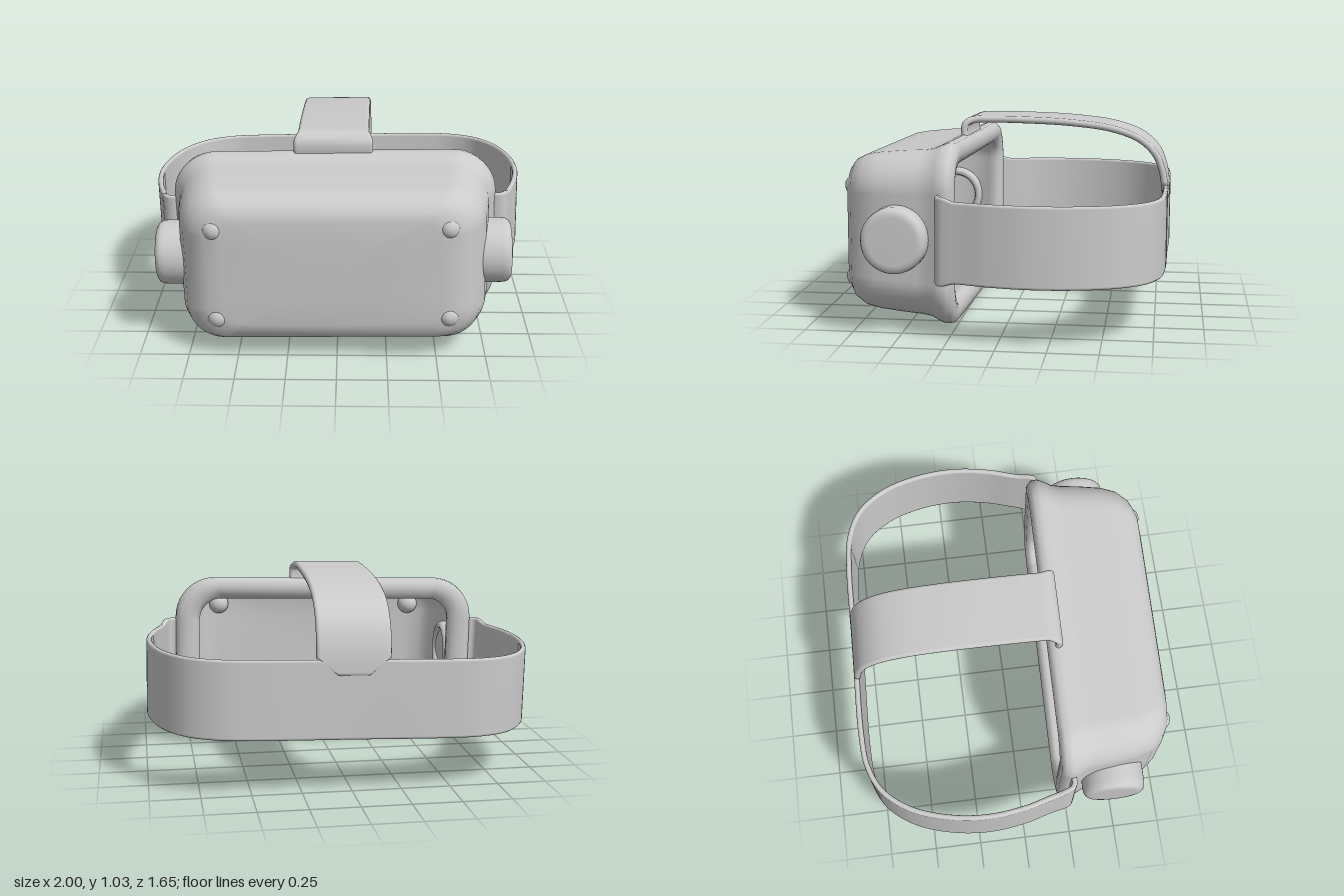
import * as THREE from 'three';

const material = new THREE.MeshStandardMaterial({ color: 0xcccccc });

function add(parent, name, geometry) {
  const mesh = new THREE.Mesh(geometry, material);
  mesh.name = name;
  parent.add(mesh);
  return mesh;
}

// Skin a closed solid through a list of closed rings, with faces turned outward
function loft(rings) {
  const n = rings[0].length;
  const pts = rings.flat();
  const index = [];
  let volume = 0;
  const tri = (a, b, c) => {
    index.push(a, b, c);
    volume += pts[a].dot(new THREE.Vector3().crossVectors(pts[b], pts[c]));
  };
  for (let i = 0; i < rings.length - 1; i++) {
    for (let j = 0; j < n; j++) {
      const k = (j + 1) % n;
      const a = i * n + j, b = i * n + k, c = a + n, d = b + n;
      tri(a, b, d);
      tri(a, d, c);
    }
  }
  if (volume < 0) index.reverse();
  const geometry = new THREE.BufferGeometry().setFromPoints(pts);
  geometry.setIndex(index);
  geometry.computeVertexNormals();
  return geometry;
}

// Rounded rectangle ring in a plane of constant z
function roundedRing([hw, hh, r, z], cy) {
  const ring = [];
  const corners = [[1, 1], [-1, 1], [-1, -1], [1, -1]];
  corners.forEach(([sx, sy], q) => {
    for (let i = 0; i <= 10; i++) {
      const a = (q + i / 10) * Math.PI / 2;
      ring.push(new THREE.Vector3(
        sx * (hw - r) + r * Math.cos(a), cy + sy * (hh - r) + r * Math.sin(a), z));
    }
  });
  return ring;
}

// Round-edged band along a planar path; place(u, v, w) maps it into space, width runs along w
function ribbon(path, thickness, widthAt, place, steps) {
  const curve = new THREE.CatmullRomCurve3(
    path.map(([u, v]) => new THREE.Vector3(u, v, 0)), false, 'centripetal');
  const rings = [];
  const ring = (t, scale) => {
    const p = curve.getPointAt(t), d = curve.getTangentAt(t);
    const r = thickness / 2, half = widthAt(t) / 2 - r;
    const out = [];
    for (const side of [1, -1]) {
      for (let i = 0; i <= 6; i++) {
        const a = i / 6 * Math.PI;
        const off = side * r * Math.cos(a) * scale;
        const w = side * (half + r * Math.sin(a)) * scale;
        out.push(place(p.x - d.y * off, p.y + d.x * off, w));
      }
    }
    rings.push(out);
  };
  ring(0, 0);
  for (let i = 0; i <= steps; i++) ring(i / steps, 1);
  ring(1, 0);
  return loft(rings);
}

export function createModel() {
  const model = new THREE.Group();
  model.name = 'headset';
  // The whole headset rests with a slight lean
  const headset = new THREE.Group();
  headset.name = 'leaningHeadset';
  headset.rotation.set(0, -0.02, 0.022);
  model.add(headset);

  // Hollow shell: outer front, flared rim, then the inside walls [halfWidth, halfHeight, radius, z]
  const profile = [
    [0, 0, 0, 0.808],
    [0.30, 0.15, 0.08, 0.808],
    [0.54, 0.27, 0.10, 0.805],
    [0.62, 0.32, 0.13, 0.794],
    [0.685, 0.36, 0.16, 0.76],
    [0.735, 0.39, 0.18, 0.70],
    [0.765, 0.403, 0.19, 0.62],
    [0.785, 0.414, 0.20, 0.50],
    [0.795, 0.420, 0.20, 0.40],
    [0.805, 0.427, 0.205, 0.35],
    [0.825, 0.445, 0.215, 0.31],
    [0.838, 0.457, 0.22, 0.275],
    [0.835, 0.454, 0.22, 0.24],
    [0.81, 0.432, 0.20, 0.218],
    [0.77, 0.400, 0.17, 0.212],
    [0.73, 0.365, 0.14, 0.22],
    [0.705, 0.342, 0.12, 0.245],
    [0.71, 0.348, 0.12, 0.29],
    [0.755, 0.385, 0.16, 0.37],
    [0.755, 0.385, 0.17, 0.50],
    [0.735, 0.372, 0.16, 0.61],
    [0.70, 0.355, 0.15, 0.69],
    [0.65, 0.33, 0.13, 0.74],
    [0.56, 0.28, 0.10, 0.767],
    [0.30, 0.15, 0.08, 0.775],
    [0, 0, 0, 0.775],
  ];
  add(headset, 'shell', loft(profile.map((row) => roundedRing(row, 0.47))));

  // Round side knobs, hollow on the inner end
  const knobProfile = [
    [0, 0.90], [0.12, 0.90], [0.14, 0.897], [0.154, 0.888], [0.162, 0.873], [0.165, 0.85],
    [0.165, 0.76], [0.162, 0.735], [0.152, 0.72], [0.138, 0.716], [0.125, 0.722],
    [0.118, 0.74], [0.116, 0.84], [0, 0.84],
  ].map(([r, h]) => new THREE.Vector2(r, h)).reverse();
  for (const side of [1, -1]) {
    const knob = add(headset, side > 0 ? 'leftKnob' : 'rightKnob',
      new THREE.LatheGeometry(knobProfile, 48));
    knob.rotation.z = -side * Math.PI / 2;
    knob.position.set(0, 0.47, 0.5);
  }

  // Four round sensors that pass through the front wall
  for (const x of [-0.575, 0.575]) {
    for (const y of [0.23, 0.70]) {
      const sensor = add(headset, 'sensor', new THREE.SphereGeometry(0.058, 28, 20));
      sensor.position.set(x, y, 0.757);
    }
  }

  // Band around the head, hooked and flared where it meets the rim
  const halfBand = [
    [0.81, 0.272], [0.85, 0.282], [0.882, 0.27], [0.897, 0.235], [0.92, 0.15], [0.957, 0.02],
    [0.982, -0.17], [0.965, -0.37], [0.90, -0.57], [0.79, -0.71], [0.65, -0.776], [0.48, -0.795],
  ];
  const bandPath = [
    ...halfBand, [0, -0.795], ...halfBand.map(([x, z]) => [-x, z]).reverse(),
  ];
  const bandWidth = (t) =>
    0.40 + 0.04 * (1 - THREE.MathUtils.smoothstep(Math.min(t, 1 - t), 0.022, 0.045));
  add(headset, 'headBand', ribbon(bandPath, 0.028, bandWidth,
    (u, v, w) => new THREE.Vector3(u, 0.477 + w, v), 200));

  // Strap over the head, tapered where it joins the band
  const topPath = [
    [0.262, 0.89], [0.272, 0.95], [0.266, 0.985], [0.235, 1.005], [0.15, 1.01], [0, 1.01],
    [-0.30, 0.998], [-0.52, 0.968], [-0.66, 0.915], [-0.74, 0.84], [-0.775, 0.76],
    [-0.79, 0.68], [-0.795, 0.60],
  ];
  const topWidth = (t) => 0.37
    + 0.04 * (1 - THREE.MathUtils.smoothstep(t, 0.06, 0.12))
    - 0.20 * Math.max(0, (t - 0.94) / 0.06);
  add(headset, 'topStrap', ribbon(topPath, 0.036, topWidth,
    (u, v, w) => new THREE.Vector3(w, v, u), 100));

  return model;
}
